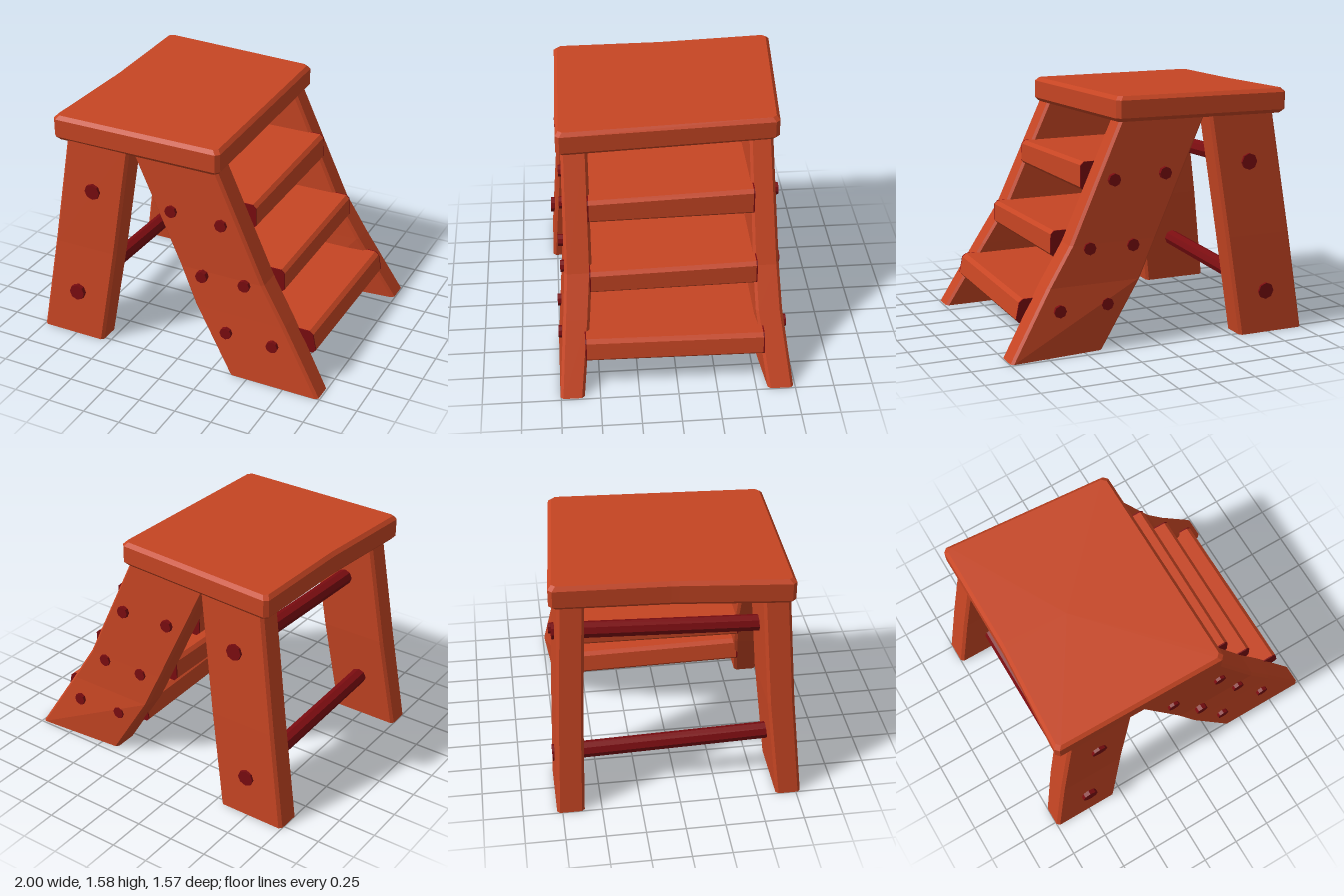
import * as THREE from 'three';

const wood = new THREE.MeshStandardMaterial({ color: 0xc64523 });
wood.name = 'red orange wood';
const darkRed = new THREE.MeshStandardMaterial({ color: 0x7a0c10 });
darkRed.name = 'dark red pegs';

// Cuts every corner of a closed 2D outline by distance c
function chamfer(points, c) {
  const out = [];
  points.forEach((p, i) => {
    const n = points.length;
    for (const q of [points[(i + n - 1) % n], points[(i + 1) % n]]) {
      const t = c / Math.hypot(q[0] - p[0], q[1] - p[1]);
      out.push([p[0] + (q[0] - p[0]) * t, p[1] + (q[1] - p[1]) * t]);
    }
  });
  return out;
}

// Joins rings of 3D points into a closed, faceted solid
function loft(rings) {
  const pos = [];
  const n = rings[0].length;
  const tri = (...pts) => pts.forEach((p) => pos.push(...p));
  const centre = (r) => [0, 1, 2].map((k) => r.reduce((s, p) => s + p[k], 0) / n);
  const first = rings[0], last = rings[rings.length - 1];
  const c0 = centre(first), c1 = centre(last);
  for (let j = 0; j < n; j++) {
    const k = (j + 1) % n;
    for (let i = 0; i < rings.length - 1; i++) {
      const a = rings[i], b = rings[i + 1];
      tri(a[j], a[k], b[k]);
      tri(a[j], b[k], b[j]);
    }
    tri(c0, first[k], first[j]);
    tri(c1, last[j], last[k]);
  }
  const g = new THREE.BufferGeometry();
  g.setAttribute('position', new THREE.Float32BufferAttribute(pos, 3));
  g.computeVertexNormals();
  return g;
}

function add(parent, name, geometry, material) {
  const mesh = new THREE.Mesh(geometry, material);
  mesh.name = name;
  parent.add(mesh);
  return mesh;
}

// Plank leg; sections are [y, xLow, xHigh, zBack, zFront, zBackLow, zFrontLow]
function leg(parent, name, sections) {
  const rings = sections.map(([y, x0, x1, zb, zf, zb0 = zb, zf0 = zf]) =>
    chamfer([[x0, zf0], [x1, zf], [x1, zb], [x0, zb0]], 0.018).map(([x, z]) => [x, y, z]));
  add(parent, name, loft(rings), wood);
}

// Eight-sided peg between two points
function peg(parent, name, a, b, radius) {
  const from = new THREE.Vector3(...a), to = new THREE.Vector3(...b);
  const dir = to.clone().sub(from);
  const g = new THREE.CylinderGeometry(radius, radius, dir.length(), 8).toNonIndexed();
  g.computeVertexNormals();
  const mesh = add(parent, name, g, darkRed);
  mesh.position.copy(from).add(to).multiplyScalar(0.5);
  mesh.quaternion.setFromUnitVectors(new THREE.Vector3(0, 1, 0), dir.normalize());
}

export function createModel() {
  const model = new THREE.Group();
  model.name = 'stepStool';

  // Slightly crooked top slab with bevelled edges
  const outline = [[-0.89, 0.705], [0.285, 0.715], [0.275, -0.69], [-0.855, -0.77], [-0.85, -0.02]];
  const slabRing = (base, slope, inset) => chamfer(outline, 0.025).map(([x, z]) => {
    const px = -0.3 + (x + 0.3) * (1 - inset / 0.58), pz = z * (1 - inset / 0.72);
    return [px, base - slope * z, pz];
  });
  add(model, 'topSlab', loft([
    slabRing(1.396, 0.036, 0.022), slabRing(1.42, 0.036, 0),
    slabRing(1.533, 0.031, 0), slabRing(1.557, 0.031, 0.022),
  ]), wood);

  // Straight legs
  leg(model, 'straightLegFront', [
    [0, -1, -0.545, 0.62, 0.78],
    [0.65, -0.905, -0.452, 0.56, 0.73],
    [1.43, -0.79, -0.342, 0.52, 0.69],
  ]);
  leg(model, 'straightLegBack', [
    [0, -1, -0.545, -0.785, -0.61],
    [0.65, -0.905, -0.452, -0.76, -0.59],
    [1.46, -0.785, -0.338, -0.715, -0.55],
  ]);

  // Bent legs that carry the steps
  leg(model, 'stepLegFront', [
    [0, 0.375, 0.99, 0.6, 0.755],
    [0.43, 0.115, 0.735, 0.545, 0.715],
    [0.68, 0, 0.58, 0.52, 0.695],
    [1.43, -0.345, 0.235, 0.515, 0.685],
  ]);
  leg(model, 'stepLegBack', [
    [0, 0.375, 0.995, -0.74, -0.575, -0.69, -0.515],
    [0.43, 0.115, 0.735, -0.685, -0.515],
    [0.68, 0, 0.58, -0.675, -0.51],
    [1.46, -0.355, 0.225, -0.655, -0.505],
  ]);

  // Steps: x range, [bottom, top] at the back and front ends, and z range
  const steps = [
    { x: [0.2, 0.9], back: [0.2, 0.348], front: [0.215, 0.365], z: [-0.55, 0.575], lean: 0.03 },
    { x: [-0.015, 0.655], back: [0.585, 0.75], front: [0.57, 0.725], z: [-0.52, 0.53], lean: 0.005 },
    { x: [-0.195, 0.452], back: [0.985, 1.165], front: [0.97, 1.13], z: [-0.515, 0.525], lean: 0.005 },
  ];
  steps.forEach(({ x, back, front, z, lean }, i) => {
    const ring = (t, zPos) => {
      const y0 = back[0] + (front[0] - back[0]) * t;
      const y1 = back[1] + (front[1] - back[1]) * t;
      return chamfer([[x[0], y0], [x[1], y0], [x[1] - lean, y1], [x[0] + lean, y1]], 0.022)
        .map(([px, py]) => [px, py, zPos]);
    };
    const step = new THREE.Group();
    step.name = `step${i + 1}`;
    model.add(step);
    add(step, 'tread', loft([ring(0, z[0]), ring(1, z[1])]), wood);
    add(step, 'endPlateBack', loft([ring(0, z[0] - 0.008), ring(0, z[0])]), darkRed);
    add(step, 'endPlateFront', loft([ring(1, z[1]), ring(1, z[1] + 0.008)]), darkRed);
  });

  // Round bars between the straight legs
  peg(model, 'upperBar', [-0.61, 1.065, 0.725], [-0.61, 1.125, -0.75], 0.053);
  peg(model, 'lowerBar', [-0.73, 0.32, 0.782], [-0.73, 0.275, -0.787], 0.054);

  // Bolt heads on the step legs: [x, y, front z, back z]
  const bolts = [
    [-0.055, 1.05, 0.71, -0.69], [0.29, 1.035, 0.71, -0.69],
    [0.165, 0.65, 0.73, -0.69], [0.455, 0.655, 0.72, -0.69],
    [0.345, 0.295, 0.75, -0.705], [0.665, 0.288, 0.75, -0.72],
  ];
  for (const [x, y, zf, zb] of bolts) {
    peg(model, 'boltFront', [x, y, zf - 0.1], [x, y, zf], 0.04);
    peg(model, 'boltBack', [x, y + (y > 1 ? 0.035 : 0), zb + 0.1], [x, y + (y > 1 ? 0.035 : 0), zb], 0.04);
  }

  return model;
}
